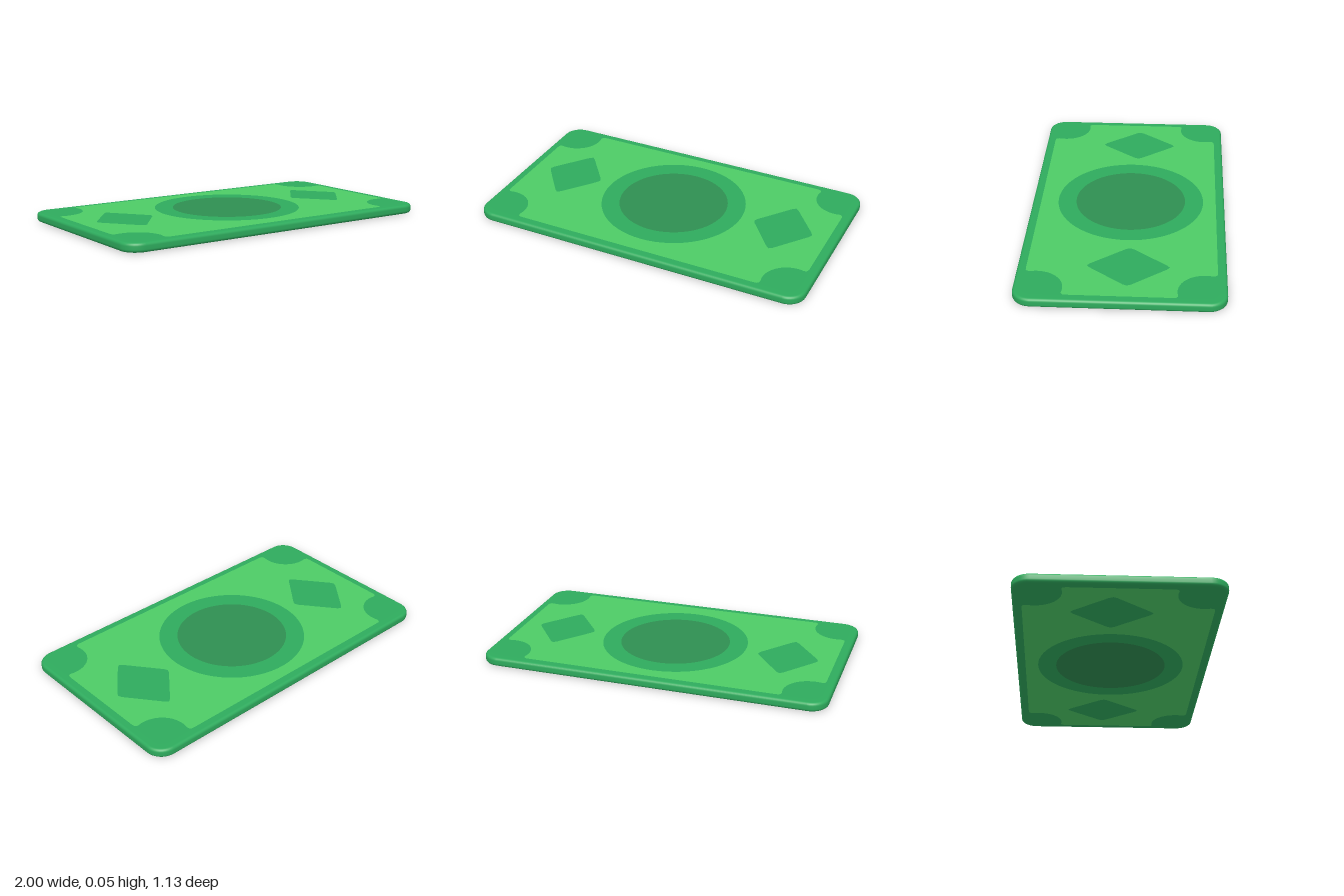
import * as THREE from 'three';

const HX = 1, HZ = 0.563, H = 0.055, LIFT = 0.0015;

// Rounded rectangle loop, pulled inward by inset
function loop(inset, y) {
  const pts = [], R = 0.1, r = R - inset, n = 10;
  [[1, 1], [-1, 1], [-1, -1], [1, -1]].forEach(([sx, sz], q) => {
    for (let i = 0; i <= n; i++) {
      const a = (q + i / n) * Math.PI / 2;
      pts.push([sx * (HX - R) + r * Math.cos(a), y, sz * (HZ - R) + r * Math.sin(a)]);
    }
  });
  return pts;
}

// Slab with a soft rim: stacked loops closed by a fan at both ends
function slabGeometry() {
  const y0 = LIFT, y1 = H - LIFT, b = 0.017;
  const profile = [[0.05, y0]];
  for (let i = 0; i <= 5; i++) {
    const a = i / 5 * Math.PI / 2;
    profile.push([b * (1 - Math.sin(a)), y0 + b * (1 - Math.cos(a))]);
  }
  profile.slice().reverse().forEach(([d, y]) => profile.push([d, y0 + y1 - y]));
  const rings = profile.map(([d, y]) => loop(d, y));
  const n = rings[0].length, pos = rings.flat(2), index = [];
  for (let k = 0; k < rings.length - 1; k++) {
    for (let i = 0; i < n; i++) {
      const j = (i + 1) % n, a = k * n + i, c = k * n + j;
      index.push(a, a + n, c, c, a + n, c + n);
    }
  }
  const bottom = rings.length * n, last = bottom - n;
  pos.push(0, y0, 0, 0, y1, 0);
  for (let i = 0; i < n; i++) {
    const j = (i + 1) % n;
    index.push(bottom, i, j, bottom + 1, last + j, last + i);
  }
  const g = new THREE.BufferGeometry();
  g.setAttribute('position', new THREE.Float32BufferAttribute(pos, 3));
  g.setIndex(index);
  g.computeVertexNormals();
  return g;
}

// Panel outline with a round bite in every corner
function panelOutline() {
  const corner = [[0.95, 0.28], [0.947, 0.296], [0.937, 0.303]];
  for (let i = 0; i <= 16; i++) {
    const a = -(77 + i / 16 * 118) * Math.PI / 180;
    corner.push([0.895 + 0.15 * Math.cos(a), 0.45 + 0.15 * Math.sin(a)]);
  }
  corner.push([0.745, 0.506], [0.735, 0.512], [0.72, 0.513]);
  return [[1, 1], [-1, 1], [-1, -1], [1, -1]].flatMap(([sx, sz]) => {
    const c = corner.map(([x, z]) => [x * sx, z * sz]);
    return sx * sz > 0 ? c : c.reverse();
  });
}

function circle(r) {
  return Array.from({ length: 64 }, (_, i) => {
    const a = i / 64 * Math.PI * 2;
    return [r * Math.cos(a), -0.013 + r * Math.sin(a)];
  });
}

// Diamond with slightly softened tips
function diamond(cx) {
  const w = 0.182, h = 0.232, cz = -0.034;
  const tips = [[w, 0], [0, h], [-w, 0], [0, -h]];
  return tips.flatMap(([x, z], i) => {
    const p = tips[(i + 3) % 4], q = tips[(i + 1) % 4], t = 0.1;
    const at = (o) => [cx + x + (o[0] - x) * t, cz + z + (o[1] - z) * t];
    return [at(p), [cx + x * 0.96, cz + z * 0.96], at(q)];
  });
}

export function createModel() {
  const rimGreen = new THREE.MeshStandardMaterial({ color: 0x2eab5d });
  const lightGreen = new THREE.MeshStandardMaterial({ color: 0x4dcb66 });
  const darkGreen = new THREE.MeshStandardMaterial({ color: 0x2e8f51 });
  const group = new THREE.Group();
  group.name = 'banknote';

  const add = (name, geometry, material) => {
    const mesh = new THREE.Mesh(geometry, material);
    mesh.name = name;
    group.add(mesh);
  };
  add('slab', slabGeometry(), rimGreen);

  // Printed faces; the slab shows through the ring and diamond openings
  for (const [side, s, y] of [['top', -1, H], ['bottom', 1, 0]]) {
    const toPoints = (list) => list.map(([x, z]) => new THREE.Vector2(x, s * z));
    const place = (shape) => new THREE.ShapeGeometry(shape).rotateX(s * Math.PI / 2).translate(0, y, 0);
    const panel = new THREE.Shape(toPoints(panelOutline()));
    for (const hole of [circle(0.426), diamond(0.68), diamond(-0.68)]) {
      panel.holes.push(new THREE.Path(toPoints(hole)));
    }
    add(side + 'Panel', place(panel), lightGreen);
    add(side + 'Medallion', place(new THREE.Shape(toPoints(circle(0.32)))), darkGreen);
  }
  return group;
}
